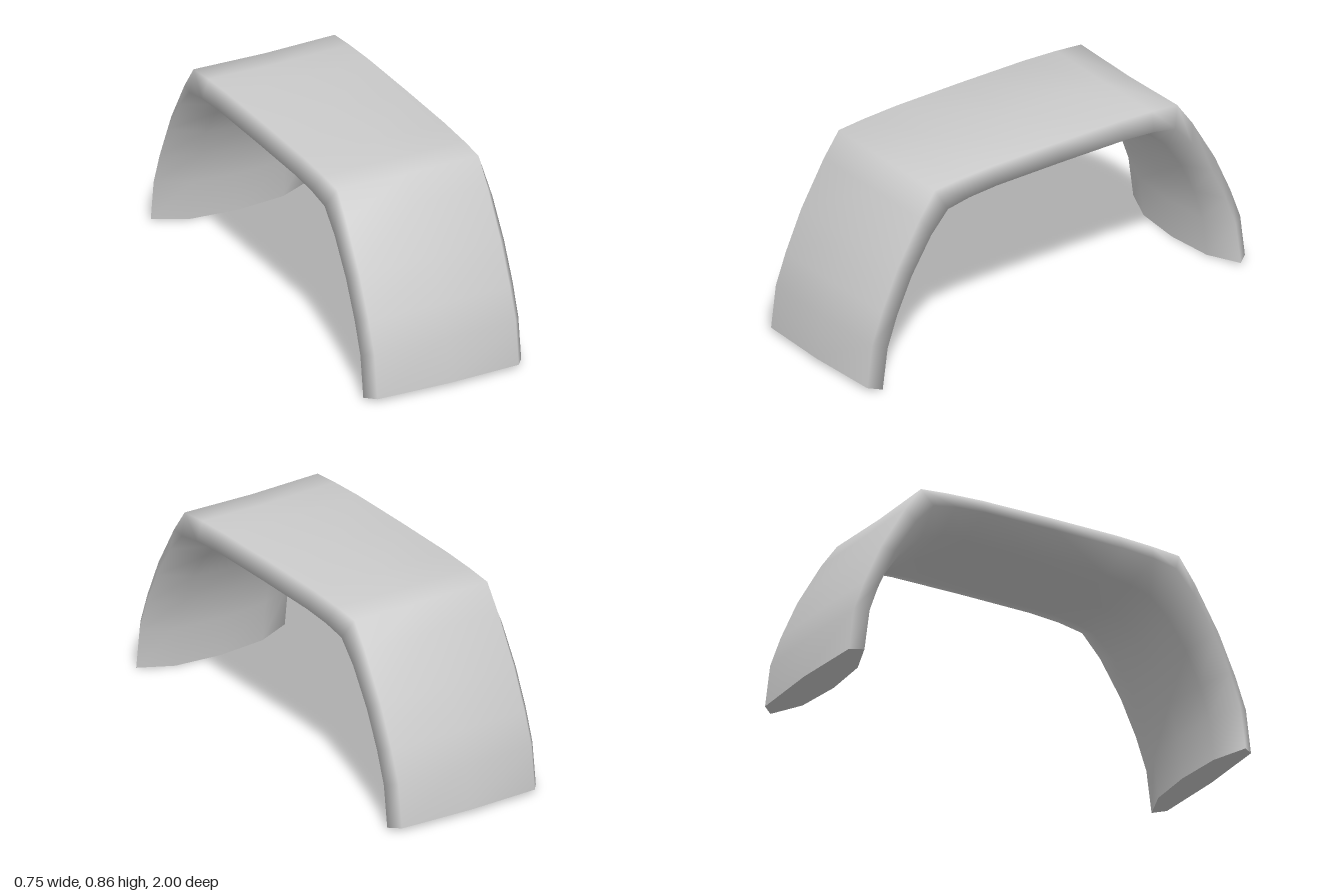
import * as THREE from 'three';

// Half of the arch, from the leg's foot to the crown: outer z, outer y, inner z, inner y
const HALF = [
  [1.0, 0.017, 0.855, 0], [0.97, 0.21, 0.835, 0.18], [0.915, 0.35, 0.79, 0.325],
  [0.83, 0.53, 0.727, 0.46], [0.71, 0.727, 0.647, 0.577], [0.63, 0.833, 0.55, 0.66],
  [0.5, 0.845, 0.46, 0.69], [0.33, 0.853, 0.35, 0.703], [0, 0.855, 0, 0.705],
];

// Cross-section loop: x, and depth from the outer face (0) to the inner face (1).
// The shoulders drop slightly on the legs and lie flat along the crown.
function section(y) {
  const shoulder = THREE.MathUtils.lerp(0.1, -0.03, Math.min(1, y / 0.83));
  const right = [[0.335, shoulder], [0.375, 0.45], [0.22, 0.88]];
  const left = right.map(([x, d]) => [-x, d]).reverse();
  return [[0, 0], ...right, [0, 1], ...left];
}

function archGeometry() {
  const mirrored = HALF.slice(0, -1).reverse().map(([a, b, c, d]) => [-a, b, -c, d]);
  const rings = [...HALF, ...mirrored].map(([oz, oy, iz, iy]) =>
    section(oy).map(([x, d]) => [x, oy + (iy - oy) * d, oz + (iz - oz) * d]));
  const n = rings[0].length;
  const positions = rings.flat(2);
  const index = [];

  // Smooth skin between neighbouring rings
  for (let i = 0; i < rings.length - 1; i++) {
    for (let j = 0; j < n; j++) {
      const k = (j + 1) % n;
      const a = i * n + j, b = i * n + k, c = (i + 1) * n + k, d = (i + 1) * n + j;
      index.push(a, b, c, a, c, d);
    }
  }

  // Flat feet with their own vertices, so their edges stay sharp
  const addFoot = (ring) => {
    const start = positions.length / 3;
    positions.push(...ring.flat());
    for (let j = 1; j < n - 1; j++) index.push(start, start + j, start + j + 1);
  };
  addFoot([...rings[0]].reverse());
  addFoot(rings[rings.length - 1]);

  const geometry = new THREE.BufferGeometry();
  geometry.setAttribute('position', new THREE.Float32BufferAttribute(positions, 3));
  geometry.setIndex(index);
  geometry.computeVertexNormals();
  return geometry;
}

export function createModel() {
  const group = new THREE.Group();
  group.name = 'wheelArch';
  const fender = new THREE.Mesh(archGeometry(), new THREE.MeshStandardMaterial({ color: 0xcccccc }));
  fender.name = 'fender';
  group.add(fender);
  return group;
}
